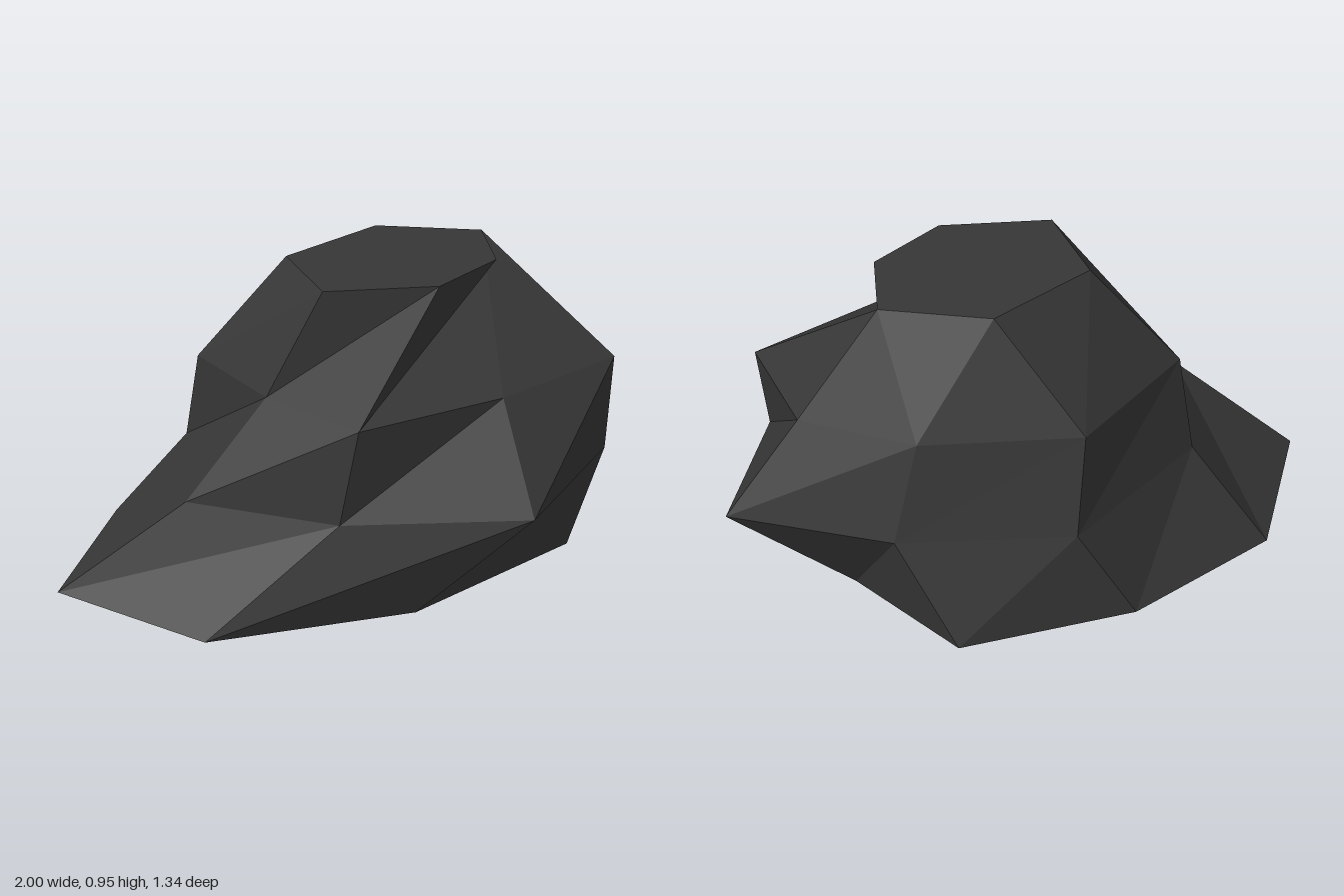
import * as THREE from 'three';

// Horizontal cross-sections [x, z], each starting at +x and turning towards +z
const rings = [
  { y: 0, pts: [[0.63, -0.14], [0.57, 0.36], [-0.08, 0.5], [-0.72, 0.35], [-1, -0.14], [-0.63, -0.56], [-0.08, -0.67], [0.48, -0.57]] },
  { y: 0.32, pts: [[1, -0.04], [0.7, 0.36], [0.23, 0.67], [-0.3, 0.42], [-0.64, 0.06], [-0.44, -0.38], [0.1, -0.61], [0.6, -0.39]] },
  { y: 0.62, pts: [[0.76, -0.07], [0.74, 0.33], [0.26, 0.43], [-0.24, 0.43], [-0.37, 0.08], [-0.42, -0.31], [0.04, -0.54], [0.5, -0.35]] },
  { y: 0.95, pts: [[0.5, -0.1], [0.4, 0.15], [0.13, 0.26], [-0.2, 0.13], [-0.16, -0.19], [0.22, -0.3]] },
];

// Order in which each band steps along its lower (L) and upper (U) ring
const bands = ['LU'.repeat(8), 'LU'.repeat(8), 'LLLUULULULULUL'];

export function createModel() {
  const stone = new THREE.MeshStandardMaterial({ color: 0x363636 });
  stone.name = 'dark stone';
  stone.flatShading = true;

  const positions = [];
  const corner = (r, i) => {
    const { y, pts } = rings[r];
    const [x, z] = pts[i % pts.length];
    return [x, y, z];
  };
  const tri = (a, b, c) => positions.push(...a, ...b, ...c);

  // Faceted sides
  bands.forEach((steps, r) => {
    let lo = 0, up = 0;
    for (const s of steps) {
      if (s === 'L') {
        tri(corner(r, lo), corner(r + 1, up), corner(r, lo + 1));
        lo++;
      } else {
        tri(corner(r, lo), corner(r + 1, up), corner(r + 1, up + 1));
        up++;
      }
    }
  });

  // Flat underside and flat top
  for (let i = 1; i < 7; i++) tri(corner(0, 0), corner(0, i), corner(0, i + 1));
  for (let i = 1; i < 5; i++) tri(corner(3, 0), corner(3, i + 1), corner(3, i));

  const geometry = new THREE.BufferGeometry();
  geometry.setAttribute('position', new THREE.Float32BufferAttribute(positions, 3));
  geometry.computeVertexNormals();

  const boulder = new THREE.Mesh(geometry, stone);
  boulder.name = 'boulder';
  const group = new THREE.Group();
  group.name = 'rock';
  group.add(boulder);
  return group;
}
